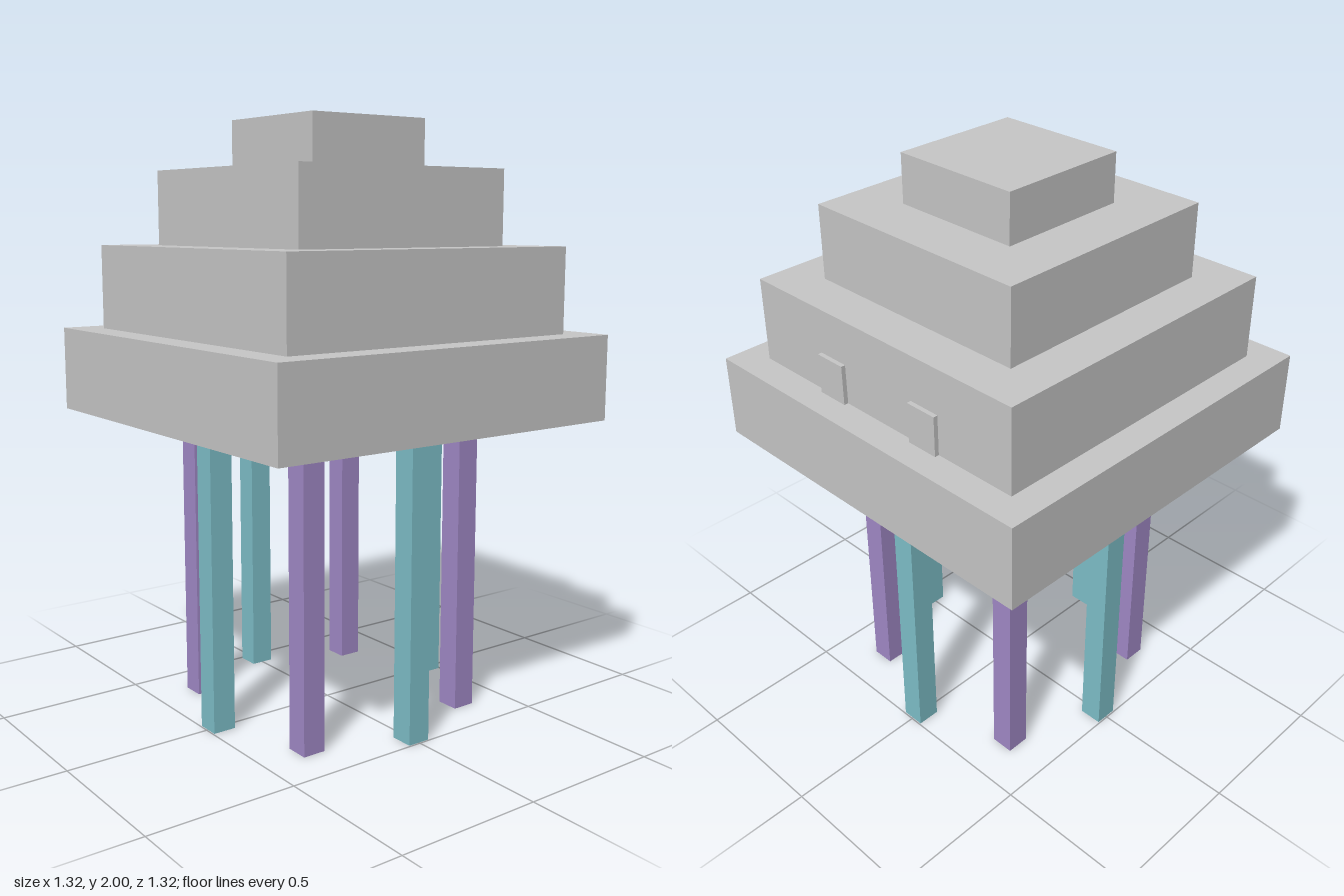
import * as THREE from 'three';

const mat = (name, color) => {
  const m = new THREE.MeshStandardMaterial({ color });
  m.name = name;
  return m;
};

export function createModel() {
  const model = new THREE.Group();
  model.name = 'steppedPyramidOnLegs';
  const stone = mat('stone grey', 0xc8c8c8);
  const teal = mat('teal', 0x7fc0ca);
  const purple = mat('purple', 0xa28ac8);

  // Box standing on height y0, reaching y1
  const block = (name, material, width, depth, y0, y1, x = 0, z = 0) => {
    const mesh = new THREE.Mesh(new THREE.BoxGeometry(width, y1 - y0, depth), material);
    mesh.position.set(x, (y0 + y1) / 2, z);
    mesh.name = name;
    model.add(mesh);
  };

  // Four stacked square tiers: width, bottom, top
  [
    [1.316, 1.015, 1.3],
    [1.112, 1.3, 1.587],
    [0.822, 1.587, 1.837],
    [0.455, 1.837, 2],
  ].forEach(([w, y0, y1], i) => block(`tier${i + 1}`, stone, w, w, y0, y1));

  // Two raised door slabs on the back of the second tier
  for (const x of [-0.206, 0.206]) block('backDoor', stone, 0.113, 0.03, 1.3, 1.435, x, -0.556);

  // Eight legs in a ring, teal on the axes and purple on the diagonals
  for (let i = 0; i < 8; i++) {
    const a = (i * Math.PI) / 4;
    const diagonal = i % 2 === 1;
    block(diagonal ? 'diagonalLeg' : 'axisLeg', diagonal ? purple : teal,
      0.08, 0.08, 0, 1.015, 0.455 * Math.sin(a), 0.455 * Math.cos(a));
  }
  return model;
}
